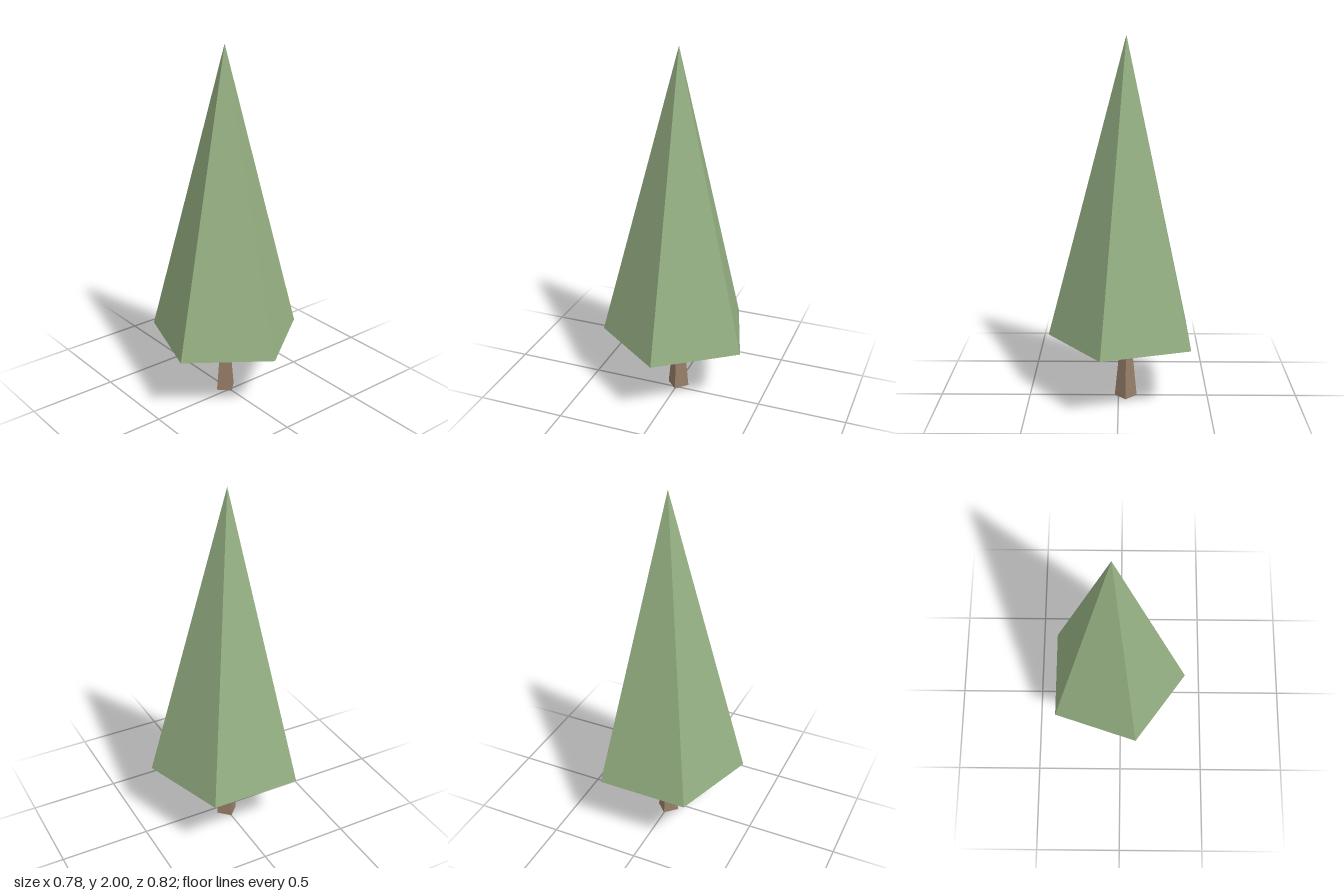
import * as THREE from 'three';

export function createModel() {
  const model = new THREE.Group();
  model.name = 'tree';

  const leafGreen = new THREE.MeshStandardMaterial({ color: 0x95b083 });
  leafGreen.name = 'leaf green';
  const barkBrown = new THREE.MeshStandardMaterial({ color: 0x967d68 });
  barkBrown.name = 'bark brown';

  // Faceted tapered prism standing on y = bottom, first corner at angle start
  const addPart = (name, rTop, rBottom, bottom, top, sides, start, material) => {
    const height = top - bottom;
    const indexed = new THREE.CylinderGeometry(rTop, rBottom, height, sides, 1, false, start);
    const geometry = indexed.toNonIndexed();
    geometry.computeVertexNormals(); // flat facets
    const mesh = new THREE.Mesh(geometry, material);
    mesh.name = name;
    mesh.position.set(-0.041, bottom + height / 2, 0);
    model.add(mesh);
  };

  // Five-sided crown with one corner pointing to +x
  addPart('crown', 0, 0.43, 0.36, 2, 5, Math.PI / 2, leafGreen);
  // Four-sided trunk with corners on the axes, ending just inside the crown
  addPart('trunk', 0.026, 0.062, 0, 0.37, 4, 0, barkBrown);

  return model;
}
